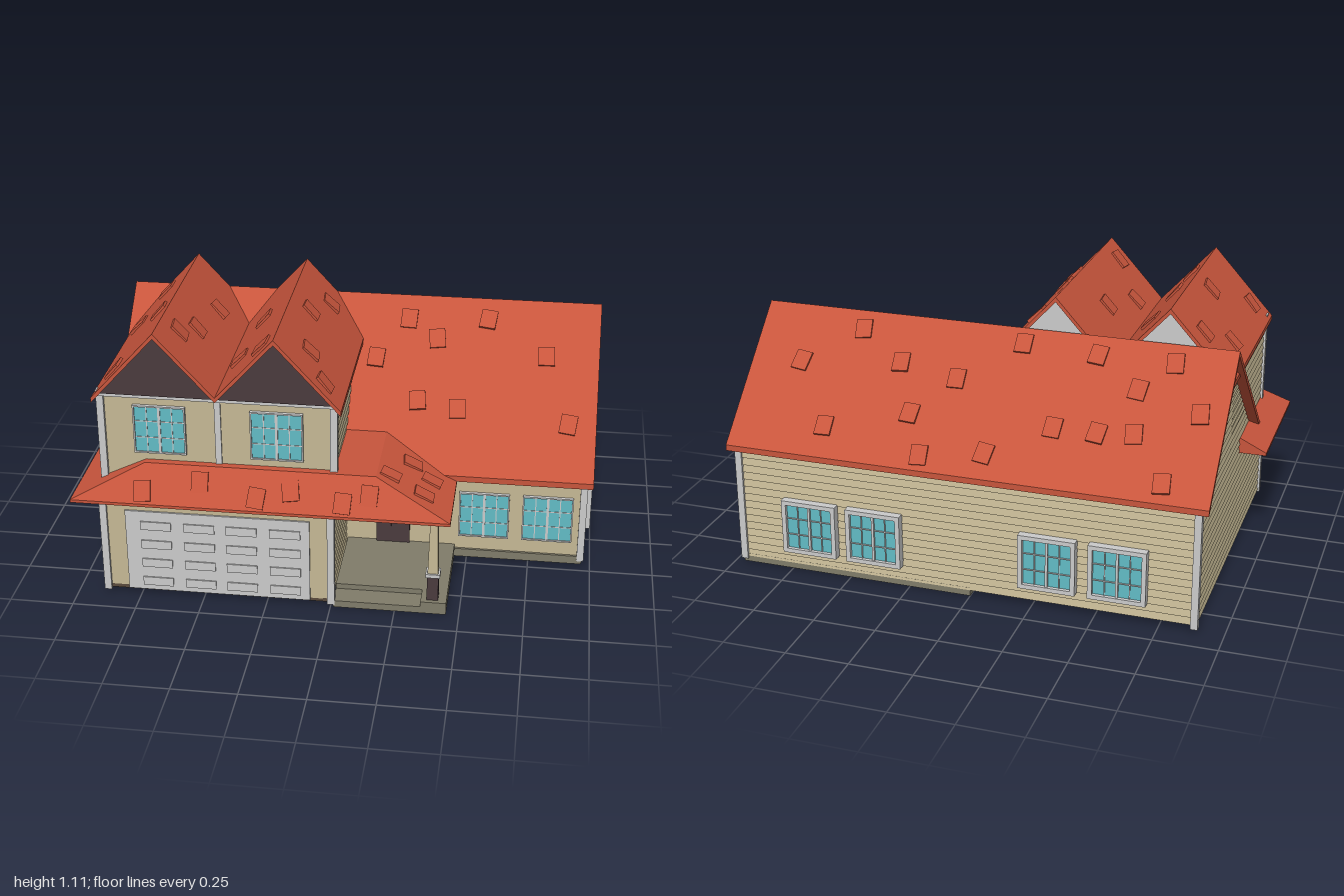
import * as THREE from 'three';
import { ConvexGeometry } from 'three/addons/geometries/ConvexGeometry.js';

const mat = (color, extra = {}) => new THREE.MeshStandardMaterial({ color, flatShading: true, ...extra });
const TRIM = mat(0xcccccc), TILE = mat(0xc8553c), WALL = mat(0xc6b995), DARK = mat(0x4a3b3e);
const GLASS = mat(0x62bcc6), STONE = mat(0x807c6a), FLOOR = mat(0x5a4a3c);
const BOARDS = mat(0xc6b995, { side: THREE.DoubleSide });

export function createModel() {
  const house = new THREE.Group();
  house.name = 'house';

  const add = (name, geometry, material, parent = house) => {
    const m = new THREE.Mesh(geometry, material);
    m.name = name;
    parent.add(m);
    return m;
  };
  // Box given by its limits on each axis
  const box = (name, material, [x0, x1], [y0, y1], [z0, z1], parent = house) => {
    const m = add(name, new THREE.BoxGeometry(x1 - x0, y1 - y0, z1 - z0), material, parent);
    m.position.set((x0 + x1) / 2, (y0 + y1) / 2, (z0 + z1) / 2);
    return m;
  };
  const extrude = (points, depth) => new THREE.ExtrudeGeometry(
    new THREE.Shape(points.map(p => new THREE.Vector2(...p))), { depth, bevelEnabled: false });

  // Lapped boards: each row leans out at its lower edge
  const siding = (name, y0, y1, range, place) => {
    const pos = [], rows = Math.round((y1 - y0) / 0.031), h = (y1 - y0) / rows;
    for (let i = 0; i < rows; i++) {
      const y = y0 + i * h, [a, b] = range(y), [c, d] = range(y + h);
      const quad = (p, q, r, s) => pos.push(...p, ...q, ...r, ...p, ...r, ...s);
      quad(place(a, y, 0.007), place(b, y, 0.007), place(d, y + h, 0), place(c, y + h, 0));
      quad(place(a, y, 0), place(b, y, 0), place(b, y, 0.007), place(a, y, 0.007));
    }
    const g = new THREE.BufferGeometry();
    g.setAttribute('position', new THREE.Float32BufferAttribute(pos, 3));
    g.computeVertexNormals();
    add(name, g, BOARDS);
  };

  // Main gable outline under the roof
  const gable = y => [Math.max(-0.635, -0.22 - (0.935 - y)), Math.min(0.19, -0.22 + (0.935 - y) / 0.96)];
  const onRight = x => (z, y, o) => [x + o, y, z];
  const onLeft = x => (z, y, o) => [x - o, y, z];
  const onBack = z => (x, y, o) => [x, y, z - o];
  const span = (a, b) => () => [a, b];
  siding('rightGableWall', 0.035, 0.934, gable, onRight(0.955));
  siding('leftGableWall', 0.42, 0.934, gable, onLeft(-0.885));
  siding('leftLowerWall', 0.02, 0.42, span(-0.635, 0.63), onLeft(-0.885));
  siding('leftUpperWall', 0.42, 0.83, span(-0.1, 0.565), onLeft(-0.885));
  siding('upperRightWall', 0.4, 0.83, span(-0.2, 0.565), onRight(0.005));
  siding('garageRightWall', 0.03, 0.42, span(0.19, 0.63), onRight(0.0));
  siding('backWall', 0.025, 0.52, span(-0.885, 0.955), onBack(-0.635));
  siding('garageBackWall', 0.02, 0.6, span(-0.885, 0), onBack(-0.12));

  // Plain front walls
  box('garageFrontWall', WALL, [-0.885, 0], [0.025, 0.42], [0.61, 0.63]);
  box('upperFrontWall', WALL, [-0.885, 0.005], [0.42, 0.85], [0.55, 0.565]);
  box('entryWall', WALL, [0, 0.955], [0.035, 0.47], [0.175, 0.19]);

  // Ground slabs, porch deck and step
  box('foundation', STONE, [0, 0.965], [0, 0.035], [-0.64, 0.2]);
  box('porchDeck', STONE, [0.01, 0.45], [0, 0.05], [0.19, 0.55]);
  box('porchDeckCorner', STONE, [0.35, 0.45], [0, 0.05], [0.55, 0.64]);
  box('porchStep', STONE, [0.01, 0.35], [0, 0.028], [0.55, 0.64]);
  box('garageFloor', FLOOR, [-0.885, 0], [0.015, 0.03], [-0.12, 0.63]);

  // Corner boards
  const post = (x, z, y0, y1) => box('cornerBoard', TRIM, [x - 0.014, x + 0.014], [y0, y1], [z - 0.014, z + 0.014]);
  post(-0.885, 0.628, 0.01, 0.42); post(0.002, 0.628, 0.01, 0.42);
  post(-0.885, -0.635, 0.01, 0.51); post(0.96, -0.635, 0.015, 0.51);
  post(0.96, 0.19, 0.015, 0.46);
  post(-0.885, 0.565, 0.42, 0.84); post(0.008, 0.565, 0.42, 0.84);
  box('middleBoard', TRIM, [-0.447, -0.423], [0.42, 0.84], [0.565, 0.572]);
  box('upperBand', TRIM, [-0.9, 0.022], [0.83, 0.85], [0.55, 0.585]);
  box('eaveReturn', TRIM, [0.0, 0.975], [0.43, 0.468], [0.19, 0.26]);
  box('eaveBoardBack', TRIM, [-0.89, 0.965], [0.49, 0.515], [-0.645, -0.625]);

  // Roofs: a bent slab with its peak and two eaves
  const chevron = ([ax, ay], [px, py], [bx, by], t) =>
    [[ax, ay - t], [px, py - t], [bx, by - t], [bx, by], [px, py], [ax, ay]];
  const mainRoof = extrude(chevron([-0.685, 0.525], [-0.22, 0.97], [0.345, 0.45], 0.024), 1.92);
  mainRoof.rotateY(-Math.PI / 2).translate(0.99, 0, 0);
  add('mainRoof', mainRoof, TILE);

  const peaks = [-0.66, -0.21];
  for (const x of peaks) {
    const l = x < -0.4 ? x - 0.25 : -0.435, r = x < -0.4 ? -0.435 : x + 0.25;
    const yAt = u => 1.107 - Math.abs(u - x) * 1.1;
    const g = extrude(chevron([l, yAt(l)], [x, 1.107], [r, yAt(r)], 0.02), 0.83);
    add('upperRoof', g.translate(0, 0, -0.22), TILE);
    const tri = [[x - 0.22, 0.846], [x + 0.22, 0.846], [x, 1.088]];
    add('frontGablePanel', extrude(tri, 0.02).translate(0, 0, 0.575), DARK);
    add('rearGablePanel', extrude(tri, 0.02).translate(0, 0, -0.21), TRIM);
  }

  // Hipped skirt roof over garage and porch
  const hull = [];
  for (const y of [0.415, 0.427]) for (const x of [-1, 0.46]) for (const z of [0.1, 0.68]) hull.push(new THREE.Vector3(x, y, z));
  for (const x of [-0.72, 0.17]) for (const z of [0.1, 0.595]) hull.push(new THREE.Vector3(x, 0.563, z));
  add('skirtRoof', new ConvexGeometry(hull), TILE);
  box('porchCeiling', TRIM, [-0.89, 0.43], [0.403, 0.418], [0.19, 0.635]);

  // Raised loose tiles
  let count = 0;
  const tile = (x, y, z, rx, rz) => {
    const m = add('raisedTile', new THREE.BoxGeometry(0.065, 0.014, 0.08), TILE);
    m.position.set(x, y, z);
    m.rotation.set(rx, 0, rz);
    if (rz) m.rotateY(Math.PI / 2);
    m.rotateY(0.14 * Math.sin(++count * 2.3));
    m.rotateX(0.06 * Math.sin(count * 1.7));
  };
  const backTiles = [[-0.74, -0.63], [-0.05, -0.61], [0.2, -0.64], [0.61, -0.59], [-0.46, -0.51], [-0.6, -0.5], [-0.29, -0.51], [0.28, -0.52],
    [-0.83, -0.42], [-0.58, -0.37], [0.13, -0.4], [0.37, -0.37], [0.78, -0.4], [-0.7, -0.28], [-0.1, -0.27], [-0.4, -0.28], [0.56, -0.28]];
  for (const [x, z] of backTiles) tile(x, 0.972 + (z + 0.22) * 0.957, z, -0.763, 0);
  const frontTiles = [[0.1, -0.01], [0.22, -0.14], [0.34, -0.08], [0.54, -0.15], [0.78, -0.04], [0.44, 0.14], [0.88, 0.17], [0.28, 0.12]];
  for (const [x, z] of frontTiles) tile(x, 0.972 - (z + 0.22) * 0.92, z, 0.744, 0);
  const sideTiles = [[-0.77, -0.1], [-0.85, 0.07], [-0.72, 0.25], [-0.84, 0.51], [-0.56, 0.29], [-0.6, 0.42], [-0.53, 0.02],
    [-0.33, 0.12], [-0.38, 0.38], [-0.27, 0.52], [-0.09, -0.07], [-0.14, 0.14], [-0.03, 0.53], [-0.1, 0.42]];
  for (const [x, z] of sideTiles) {
    const p = peaks[x < -0.435 ? 0 : 1];
    tile(x, 1.109 - Math.abs(x - p) * 1.1, z, 0, x > p ? -0.833 : 0.833);
  }
  for (const [x, z] of [[0.22, 0.53], [0.35, 0.56], [0.29, 0.37], [0.37, 0.43]]) tile(x, 0.565 - (x - 0.17) * 0.475, z, 0, -0.444);
  for (const [x, y] of [[-0.72, 0.47], [-0.5, 0.51], [-0.28, 0.47], [-0.15, 0.5], [0.05, 0.47], [0.15, 0.5]])
    tile(x, y, 0.68 - (y - 0.427) * 0.625, 1.012, 0);

  // Paired casement window facing +z of its group
  const makeWindow = (x, y, z, turn, border, depth) => {
    const g = new THREE.Group(), w = 0.095, h = 0.094;
    g.name = 'window';
    g.position.set(x, y, z);
    g.rotation.y = turn;
    house.add(g);
    const W = w + border, H = h + border;
    box('glass', GLASS, [-w, w], [-h, h], [-0.005, depth * 0.55], g);
    for (const s of [-1, 1]) {
      const side = [s * w, s * W].sort((a, b) => a - b), rail = [s * h, s * H].sort((a, b) => a - b);
      box('frameSide', TRIM, side, [-H, H], [-0.005, depth], g);
      box('frameRail', TRIM, [-w, w], rail, [-0.005, depth], g);
      box('paneBar', TRIM, [s * 0.049 - 0.002, s * 0.049 + 0.002], [-h, h], [0, depth * 0.7], g);
      box('crossBar', TRIM, [-w, w], [s * 0.034 - 0.002, s * 0.034 + 0.002], [0, depth * 0.7], g);
    }
    box('mullion', TRIM, [-0.005, 0.005], [-h, h], [0, depth * 0.85], g);
  };
  for (const x of peaks) makeWindow(x, 0.695, 0.565, 0, 0.006, 0.014);
  for (const x of [0.565, 0.82]) makeWindow(x, 0.198, 0.19, 0, 0.006, 0.014);
  for (const z of [-0.055, -0.39]) makeWindow(0.96, 0.198, z, Math.PI / 2, 0.018, 0.035);
  for (const x of [0.66, 0.39, -0.315, -0.59]) makeWindow(x, 0.198, -0.64, Math.PI, 0.018, 0.033);

  // Garage door with raised panels
  box('garageDoor', TRIM, [-0.8, -0.08], [0.02, 0.37], [0.62, 0.637]);
  for (const x of [-0.68, -0.51, -0.345, -0.175]) for (const y of [0.06, 0.143, 0.226, 0.309])
    box('garagePanel', TRIM, [x - 0.06, x + 0.06], [y - 0.018, y + 0.018], [0.63, 0.642]);

  // Front door
  box('frontDoor', DARK, [0.13, 0.265], [0.05, 0.3], [0.185, 0.202]);
  for (const x of [0.172, 0.223]) for (const [y0, y1] of [[0.07, 0.14], [0.155, 0.225], [0.24, 0.285]])
    box('doorPanel', DARK, [x - 0.018, x + 0.018], [y0, y1], [0.2, 0.207]);
  add('doorKnob', new THREE.SphereGeometry(0.006, 8, 6), TRIM).position.set(0.143, 0.165, 0.208);

  // Porch column
  box('columnPlinth', DARK, [0.373, 0.417], [0.05, 0.155], [0.578, 0.622]);
  box('columnCap', TRIM, [0.367, 0.423], [0.153, 0.168], [0.572, 0.628]);
  const shaft = add('columnShaft', new THREE.CylinderGeometry(0.021, 0.029, 0.225, 4, 1).rotateY(Math.PI / 4), WALL);
  shaft.position.set(0.395, 0.28, 0.6);
  box('columnHead', TRIM, [0.374, 0.416], [0.39, 0.405], [0.579, 0.621]);

  return house;
}
